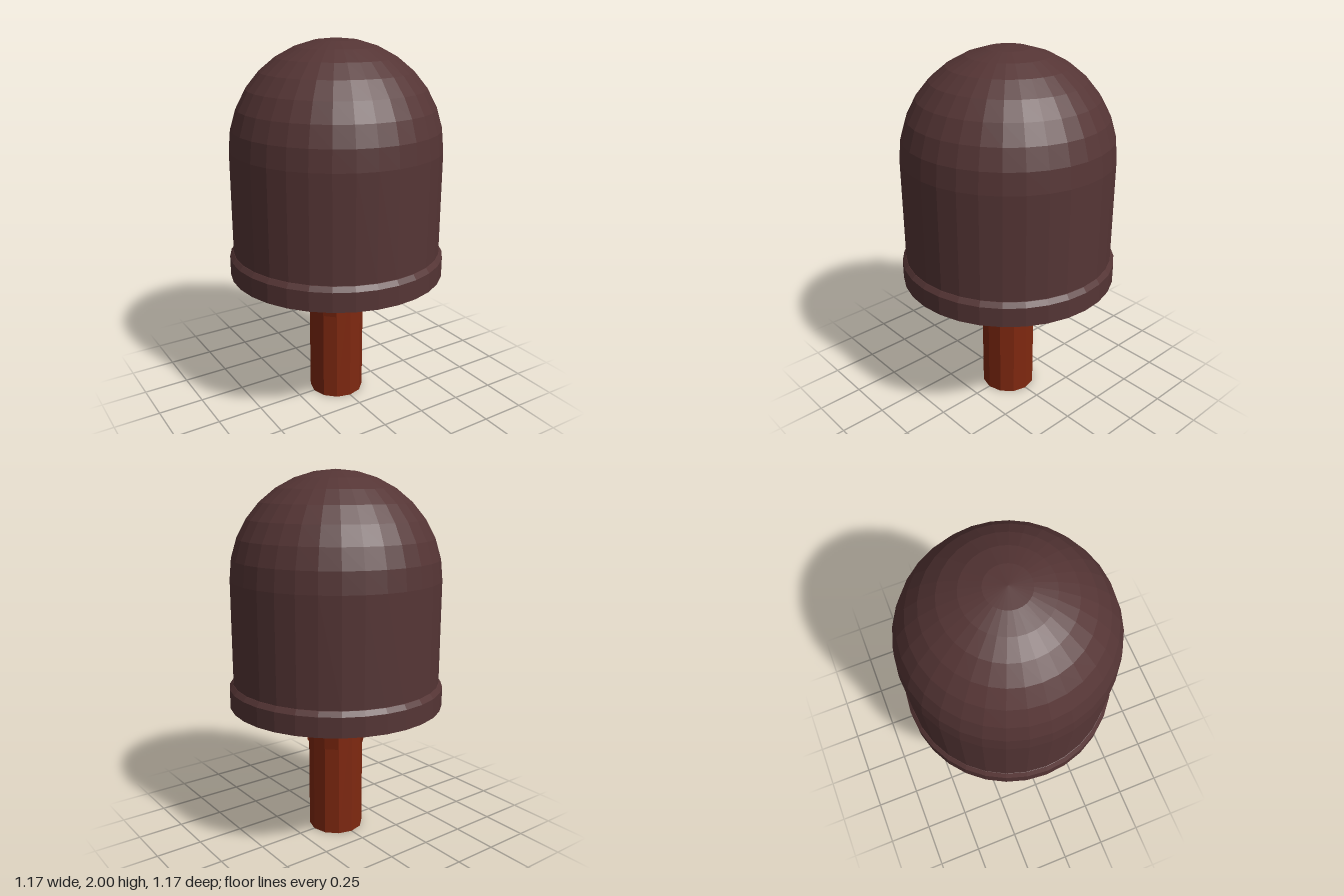
import * as THREE from 'three';

export function createModel() {
  const group = new THREE.Group();
  const capBrown = new THREE.MeshStandardMaterial({ color: 0x553535, flatShading: true });
  capBrown.name = 'dark brown';
  const rust = new THREE.MeshStandardMaterial({ color: 0x7f2810, flatShading: true });
  rust.name = 'rust red';

  function add(name, geometry, material, parent = group) {
    const mesh = new THREE.Mesh(geometry, material);
    mesh.name = name;
    parent.add(mesh);
    return mesh;
  }
  const lathe = (points, sides) =>
    new THREE.LatheGeometry(points.map(([r, y]) => new THREE.Vector2(r, y)), sides);

  // Domed cap: rim band, bevel, straight wall and hemisphere
  const R = 0.566, domeY = 2 - R, rings = 8;
  const profile = [[0.587, 0.745], [0.587, 0.85], [R + 0.002, 0.875], [R, 0.876]];
  for (let i = 0; i <= rings; i++) {
    const a = (i / rings) * Math.PI / 2;
    profile.push([i === rings ? 0 : R * Math.cos(a), domeY + R * Math.sin(a)]);
  }
  add('cap', lathe(profile, 32), capBrown);

  // Shallow conical underside
  add('capUnderside', lathe([[0, 0.695], [0.14, 0.7], [0.587, 0.745]], 32), rust);

  // Twelve-sided stem
  const stem = add('stem', new THREE.CylinderGeometry(0.152, 0.152, 0.71, 12), rust);
  stem.position.y = 0.355;

  // Four tapered braces on the diagonals under the cap
  const fin = new THREE.Shape([[0.1, 0.51], [0.154, 0.51], [0.186, 0.71], [0.1, 0.71]]
    .map(([x, y]) => new THREE.Vector2(x, y)));
  const thickness = 0.078;
  const finGeometry = new THREE.ExtrudeGeometry(fin, { depth: thickness, bevelEnabled: false });
  finGeometry.translate(0, 0, -thickness / 2);
  const braces = new THREE.Group();
  braces.name = 'stemBraces';
  group.add(braces);
  for (let i = 0; i < 4; i++) {
    add('brace' + (i + 1), finGeometry, rust, braces).rotation.y = Math.PI / 4 + i * Math.PI / 2;
  }

  return group;
}
